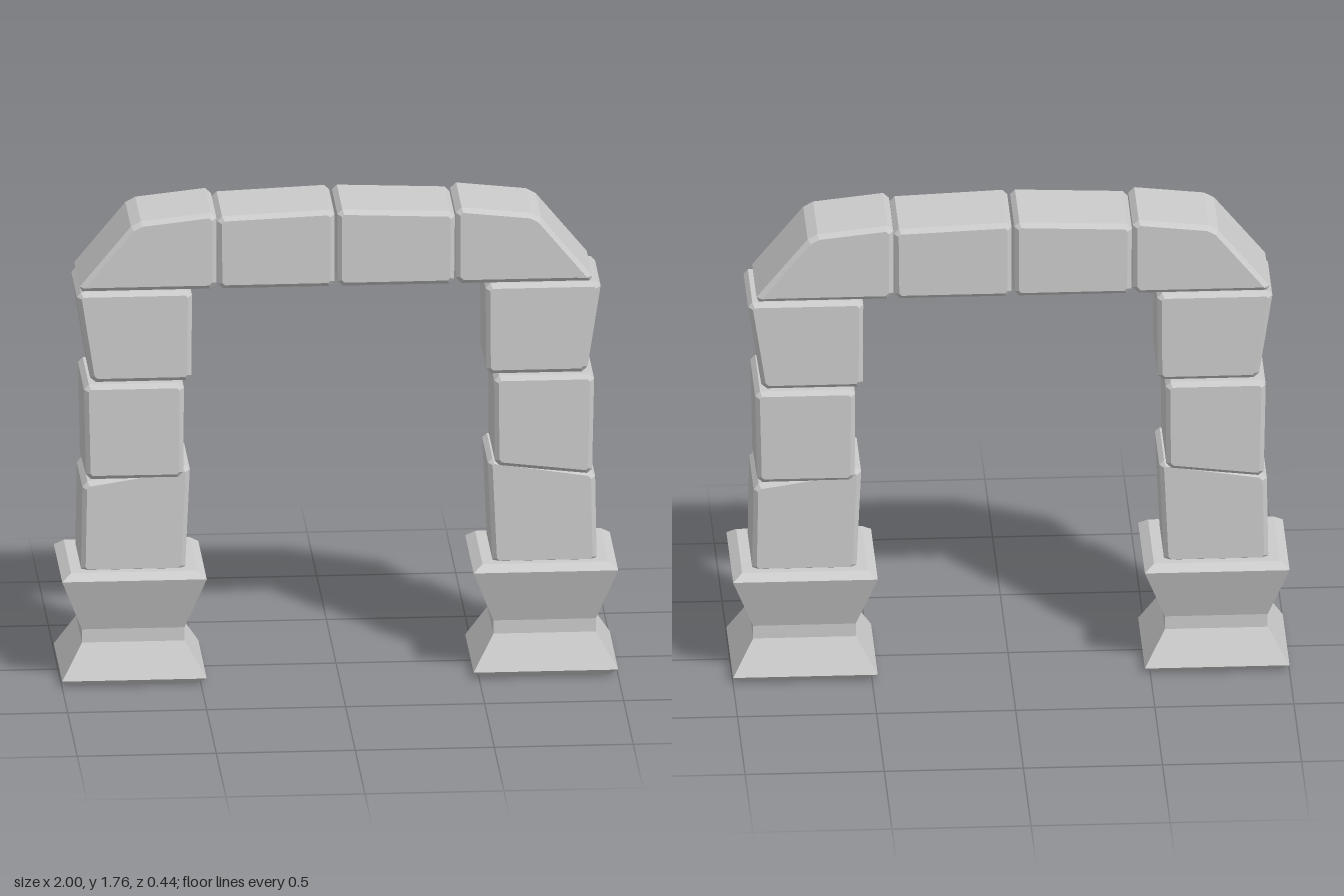
import * as THREE from 'three';

const stone = new THREE.MeshStandardMaterial({ color: 0xcccccc, flatShading: true });

function mesh(name, geometry) {
  const m = new THREE.Mesh(geometry, stone);
  m.name = name;
  return m;
}

// Stone block: an outline in x/y with clipped corners, extruded along z with chamfered edges
function blockGeometry(outline, halfDepth, cut = 0.018) {
  const pts = outline.map(([x, y]) => new THREE.Vector2(x, y));
  const clipped = [];
  pts.forEach((p, i) => {
    const prev = pts[(i + pts.length - 1) % pts.length];
    const next = pts[(i + 1) % pts.length];
    for (const q of [prev, next]) {
      clipped.push(p.clone().add(q.clone().sub(p).setLength(cut)));
    }
  });
  const bevel = 0.016;
  const g = new THREE.ExtrudeGeometry(new THREE.Shape(clipped), {
    depth: 2 * (halfDepth - bevel),
    bevelThickness: bevel,
    bevelSize: bevel,
    bevelOffset: -bevel,
    bevelSegments: 1,
  });
  return g.translate(0, 0, bevel - halfDepth);
}

// Flared square foot, narrow at the waist
function pedestalGeometry() {
  const profile = [[0, 0], [0.87, 0], [1, 0.025], [0.71, 0.15], [0.71, 0.2], [1, 0.4], [0.87, 0.425], [0, 0.425]]
    .map(([r, y]) => new THREE.Vector2(r * Math.SQRT2, y));
  return new THREE.LatheGeometry(profile, 4, Math.PI / 4)
    .scale(0.26, 1, 0.22)
    .translate(0.74, 0, 0);
}

function makeColumn(name) {
  const column = new THREE.Group();
  column.name = name;
  column.add(mesh('pedestal', pedestalGeometry()));
  column.add(mesh('lowerBlock', blockGeometry([[0.553, 0.41], [0.928, 0.41], [0.922, 0.752], [0.535, 0.812]], 0.16)));

  // Middle block has a slightly twisted underside
  const middle = blockGeometry([[0.56, 0.778], [0.91, 0.758], [0.918, 1.125], [0.558, 1.125]], 0.174);
  const pos = middle.attributes.position;
  for (let i = 0; i < pos.count; i++) {
    if (pos.getY(i) < 0.9) {
      pos.setY(i, pos.getY(i) + pos.getZ(i) * (0.735 - pos.getX(i)) * 0.35);
    }
  }
  middle.computeVertexNormals();
  column.add(mesh('middleBlock', middle));

  column.add(mesh('upperBlock', blockGeometry([[0.53, 1.13], [0.892, 1.13], [0.945, 1.47], [0.528, 1.47]], 0.16)));
  return column;
}

export function createModel() {
  const model = new THREE.Group();
  model.name = 'stoneArch';

  // Two columns, turned half way round from each other
  const left = makeColumn('leftColumn');
  const right = makeColumn('rightColumn');
  right.rotation.y = Math.PI;
  model.add(left, right);

  // Mirrored top course
  const top = new THREE.Group();
  top.name = 'topCourse';
  for (const s of [1, -1]) {
    const side = s > 0 ? 'left' : 'right';
    const flip = (pts) => pts.map(([x, y]) => [s * x, y]);
    top.add(mesh(side + 'Lintel', blockGeometry(flip([[0.005, 1.473], [0.425, 1.473], [0.428, 1.745], [0.005, 1.762]]), 0.158)));
    top.add(mesh(side + 'CornerStone', blockGeometry(flip([[0.43, 1.473], [0.936, 1.473], [0.724, 1.73], [0.43, 1.762]]), 0.158, 0.022)));
  }
  top.position.x = -0.01;
  model.add(top);

  return model;
}
